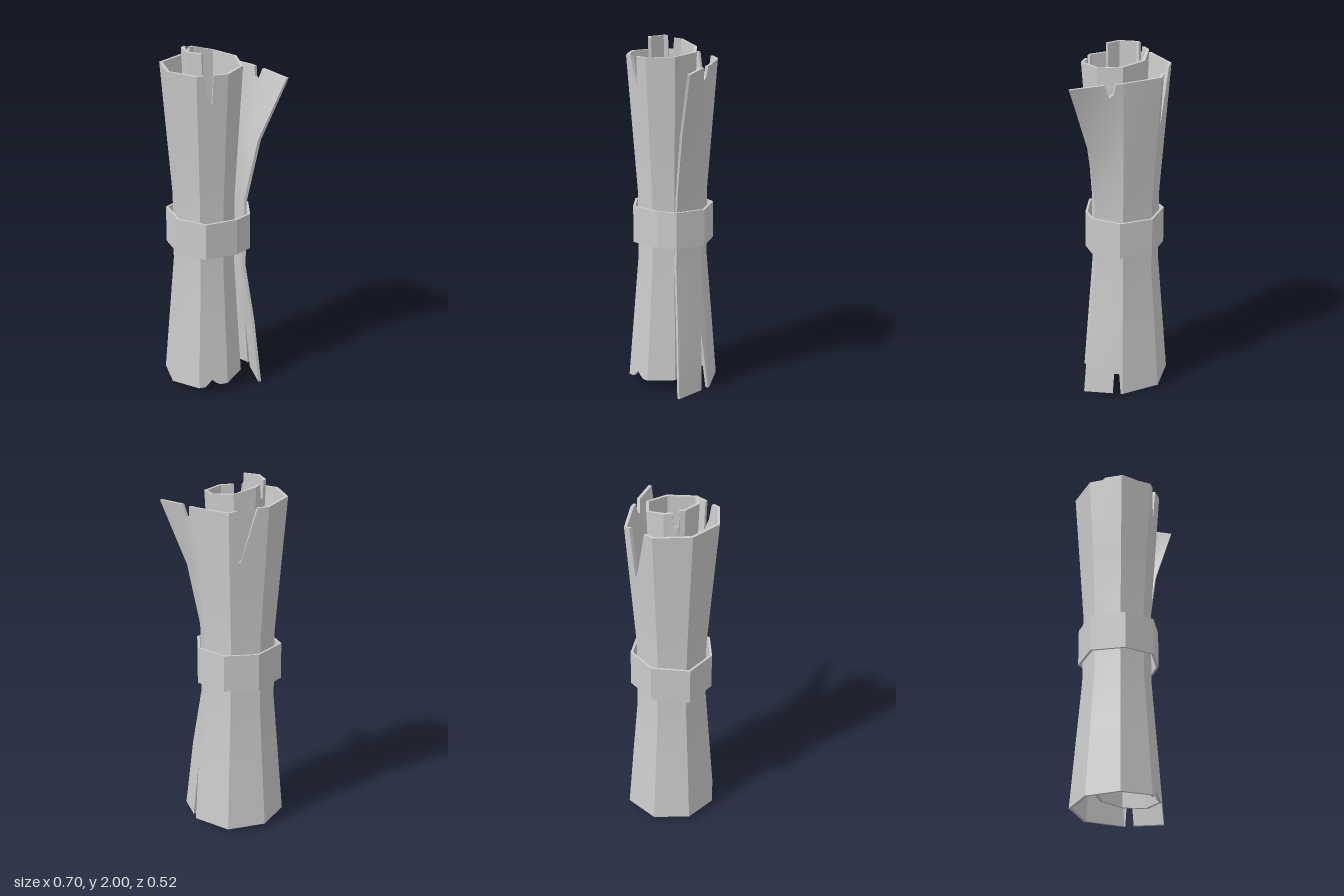
import * as THREE from 'three';
import { toCreasedNormals } from 'three/addons/utils/BufferGeometryUtils.js';

const CX = -0.09; // axis of the roll
const THICK = 0.017;

// Plan of the rolled sheet (x, z) from its inner end outwards; the loose tip follows separately
const PLAN = [
  [-0.09, 0.137], [-0.176, 0.118], [-0.229, 0.025], [-0.197, -0.08], [-0.09, -0.14],
  [0.045, -0.103], [0.109, 0.028], [0.062, 0.182], [-0.09, 0.259], [-0.263, 0.2],
  [-0.35, 0.028], [-0.285, -0.167], [-0.09, -0.262], [0.12, -0.17],
];
// Pinch of the roll by height, and the loose outer edge by height
const PINCH = [[0.03, 1], [0.75, 0.77], [1.15, 0.77], [1.92, 1]];
const TIP_X = [[0, 0.23], [0.4, 0.185], [0.75, 0.13], [1.15, 0.135], [1.5, 0.205], [1.86, 0.35]];
const TIP_Z = [[0, 0.03], [1, 0.025], [1.86, 0]];

// Torn top and bottom edges: [position along the plan, height]
const TOP = [
  [0, 2], [2.25, 2], [2.3, 1.9], [2.55, 1.91], [2.6, 1.985], [3, 1.98], [4, 1.95], [5, 1.935],
  [6, 1.92], [7, 1.915], [7.46, 1.915], [7.5, 1.75], [7.68, 1.82], [7.76, 1.915],
  [10, 1.912], [11.28, 1.9], [11.68, 1.61], [11.75, 1.6], [11.8, 1.89], [12, 1.88],
  [13.14, 1.873], [13.18, 1.82], [13.28, 1.8], [13.35, 1.872], [14, 1.86],
];
const BOTTOM = [
  [0, 0.13], [2, 0.12], [4, 0.1], [6, 0.065], [7.25, 0.055], [7.42, 0.07], [7.54, 0.09],
  [7.78, 0.048], [10, 0.035], [12, 0.015], [13.04, 0.01], [13.17, 0.35], [13.25, 0.008], [14, 0],
];
const ROWS = [0.4, 0.75, 1.15, 1.5];

// Piecewise linear lookup
function lookup(table, t) {
  let i = 0;
  while (i < table.length - 2 && t > table[i + 1][0]) i++;
  const [a, b] = [table[i], table[i + 1]];
  const k = THREE.MathUtils.clamp((t - a[0]) / (b[0] - a[0]), 0, 1);
  return a[1] + (b[1] - a[1]) * k;
}

// Outer plan corner i at height y
function corner(i, y) {
  if (i === PLAN.length) return new THREE.Vector2(lookup(TIP_X, y), lookup(TIP_Z, y));
  const s = lookup(PINCH, y);
  return new THREE.Vector2(CX + (PLAN[i][0] - CX) * s, PLAN[i][1] * s);
}

// Inner plan corner, offset towards the axis
function innerCorner(i, y) {
  const a = corner(Math.max(i - 1, 0), y);
  const b = corner(Math.min(i + 1, PLAN.length), y);
  const d = b.sub(a).normalize();
  return corner(i, y).add(new THREE.Vector2(-d.y, d.x).multiplyScalar(THICK));
}

function sheetPoint(fn, u, y) {
  const i = Math.min(Math.floor(u), PLAN.length - 1);
  const p = fn(i, y).lerp(fn(i + 1, y), u - i);
  return [p.x, y, p.y];
}

// Rolled sheet with thickness, built column by column
function rolledSheet() {
  const us = new Set([...PLAN.keys(), PLAN.length]);
  for (const [u] of [...TOP, ...BOTTOM]) us.add(u);
  const columns = [...us].sort((a, b) => a - b).map((u) => {
    const ys = [lookup(BOTTOM, u), ...ROWS, lookup(TOP, u)];
    return {
      out: ys.map((y) => sheetPoint(corner, u, y)),
      inn: ys.map((y) => sheetPoint(innerCorner, u, y)),
    };
  });
  const pos = [];
  const quad = (a, b, c, d) => pos.push(...a, ...b, ...c, ...a, ...c, ...d);
  const last = ROWS.length + 1;
  for (let c = 0; c < columns.length - 1; c++) {
    const a = columns[c], b = columns[c + 1];
    for (let r = 0; r < last; r++) {
      quad(b.out[r], a.out[r], a.out[r + 1], b.out[r + 1]);
      quad(a.inn[r], b.inn[r], b.inn[r + 1], a.inn[r + 1]);
    }
    quad(b.out[last], a.out[last], a.inn[last], b.inn[last]);
    quad(a.out[0], b.out[0], b.inn[0], a.inn[0]);
  }
  // Side edges
  const s = columns[0], e = columns[columns.length - 1];
  for (let r = 0; r < last; r++) {
    quad(s.out[r], s.inn[r], s.inn[r + 1], s.out[r + 1]);
    quad(e.inn[r], e.out[r], e.out[r + 1], e.inn[r + 1]);
  }
  const geo = new THREE.BufferGeometry();
  geo.setAttribute('position', new THREE.Float32BufferAttribute(pos, 3));
  return toCreasedNormals(geo, 0.45);
}

// Eight-sided tie band
function tieBand() {
  const ring = [
    [-0.328, 0.03], [-0.22, 0.19], [-0.05, 0.234], [0.1, 0.125],
    [0.155, 0.03], [0.11, -0.14], [-0.06, -0.23], [-0.24, -0.165],
  ];
  const loop = (s) => ring.map(([x, z]) => new THREE.Vector2(CX + (x - CX) * s, -z * s));
  const shape = new THREE.Shape(loop(1));
  shape.holes.push(new THREE.Path(loop(0.94)));
  const geo = new THREE.ExtrudeGeometry(shape, { depth: 0.21, bevelEnabled: false });
  return geo.rotateX(-Math.PI / 2).translate(0, 0.86, 0);
}

export function createModel() {
  const group = new THREE.Group();
  group.name = 'rolledScroll';
  const add = (name, geo, flatShading) => {
    const mesh = new THREE.Mesh(geo, new THREE.MeshStandardMaterial({ color: 0xcccccc, flatShading }));
    mesh.name = name;
    group.add(mesh);
  };
  add('rolledSheet', rolledSheet(), false);
  add('tieBand', tieBand(), true);
  return group;
}
